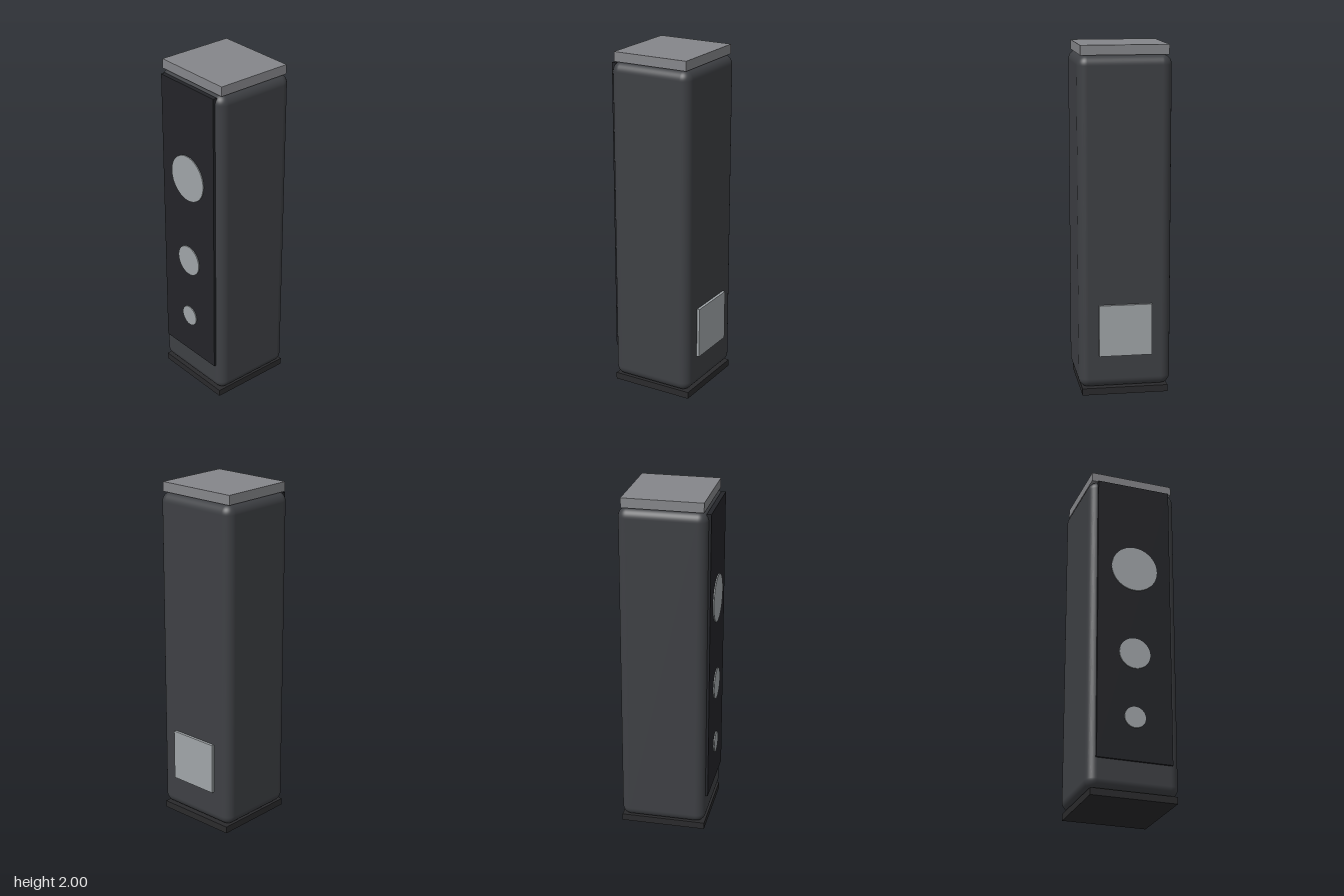
import * as THREE from 'three';
import { RoundedBoxGeometry } from 'three/addons/geometries/RoundedBoxGeometry.js';

const paint = (color) => new THREE.MeshStandardMaterial({ color });

export function createModel() {
  const model = new THREE.Group();
  model.name = 'towerSpeaker';
  const bodyPaint = paint(0x3e4044);
  const panelPaint = paint(0x232428);
  const basePaint = paint(0x2a2a2c);
  const slabPaint = paint(0x85868a);
  const metalPaint = paint(0xa0a5a8);

  const add = (name, geometry, material, x, y, z) => {
    const mesh = new THREE.Mesh(geometry, material);
    mesh.name = name;
    mesh.position.set(x, y, z);
    model.add(mesh);
    return mesh;
  };

  // Box given by its half width and its y and z ranges
  const addBox = (name, material, halfX, y0, y1, z0, z1) =>
    add(name, new THREE.BoxGeometry(halfX * 2, y1 - y0, z1 - z0), material,
      0, (y0 + y1) / 2, (z0 + z1) / 2);

  // Rounded cabinet between a base plate and a top slab
  add('cabinet', new RoundedBoxGeometry(0.53, 1.905, 0.5, 6, 0.055), bodyPaint, 0, 0.9925, -0.002);
  addBox('basePlate', basePaint, 0.248, 0, 0.04, -0.25, 0.246);
  addBox('topSlab', slabPaint, 0.248, 1.945, 2, -0.23, 0.227);

  // Front panel and rear terminal plate
  addBox('frontPanel', panelPaint, 0.219, 0.21, 1.93, 0.235, 0.261);
  addBox('terminalPlate', metalPaint, 0.152, 0.235, 0.535, -0.268, -0.24);

  // Drivers: thin discs facing forward, largest at the top
  const drivers = [
    ['largeDriver', 0.137, 1.375],
    ['middleDriver', 0.091, 0.842],
    ['smallDriver', 0.061, 0.46],
  ];
  for (const [name, radius, y] of drivers) {
    const disc = new THREE.CylinderGeometry(radius, radius, 0.02, 48).rotateX(Math.PI / 2);
    add(name, disc, metalPaint, 0, y, 0.257);
  }

  return model;
}
